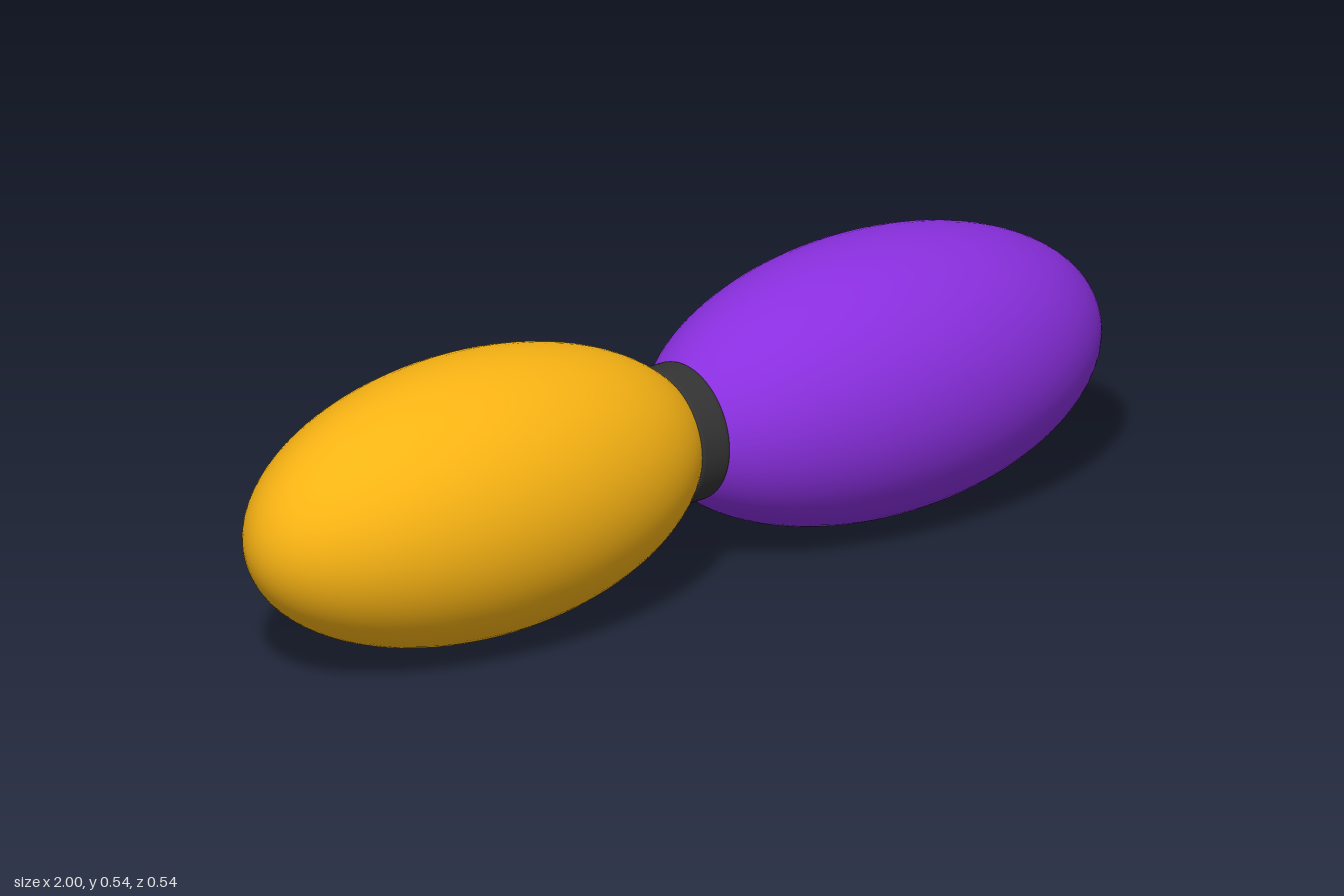
import * as THREE from 'three';

export function createModel() {
  const group = new THREE.Group();
  const midY = 0.271;

  // Two smooth egg-shaped lobes, poles along x
  const addLobe = (name, side, color) => {
    const geo = new THREE.SphereGeometry(1, 64, 48);
    geo.rotateZ(-side * Math.PI / 2);
    geo.scale(0.516, 0.271, 0.271);
    const lobe = new THREE.Mesh(geo, new THREE.MeshStandardMaterial({ color }));
    lobe.name = name;
    lobe.position.set(side * 0.484, midY, 0);
    group.add(lobe);
  };
  addLobe('leftLobe', 1, 0x8a2fdf);
  addLobe('rightLobe', -1, 0xf9b414);

  // Dark collar with softly rounded rims, joining the lobes
  const radius = 0.135, half = 0.037, bevel = 0.012;
  const profile = [new THREE.Vector2(0, -half)];
  for (const side of [-1, 1]) {
    for (let i = 0; i <= 6; i++) {
      const a = (side < 0 ? i - 6 : i) / 6 * Math.PI / 2;
      profile.push(new THREE.Vector2(
        radius - bevel + bevel * Math.cos(a),
        side * (half - bevel) + bevel * Math.sin(a)));
    }
  }
  profile.push(new THREE.Vector2(0, half));
  const collar = new THREE.Mesh(
    new THREE.LatheGeometry(profile, 64),
    new THREE.MeshStandardMaterial({ color: 0x333333 }));
  collar.name = 'collar';
  collar.rotation.z = Math.PI / 2;
  collar.position.y = midY;
  group.add(collar);

  return group;
}
